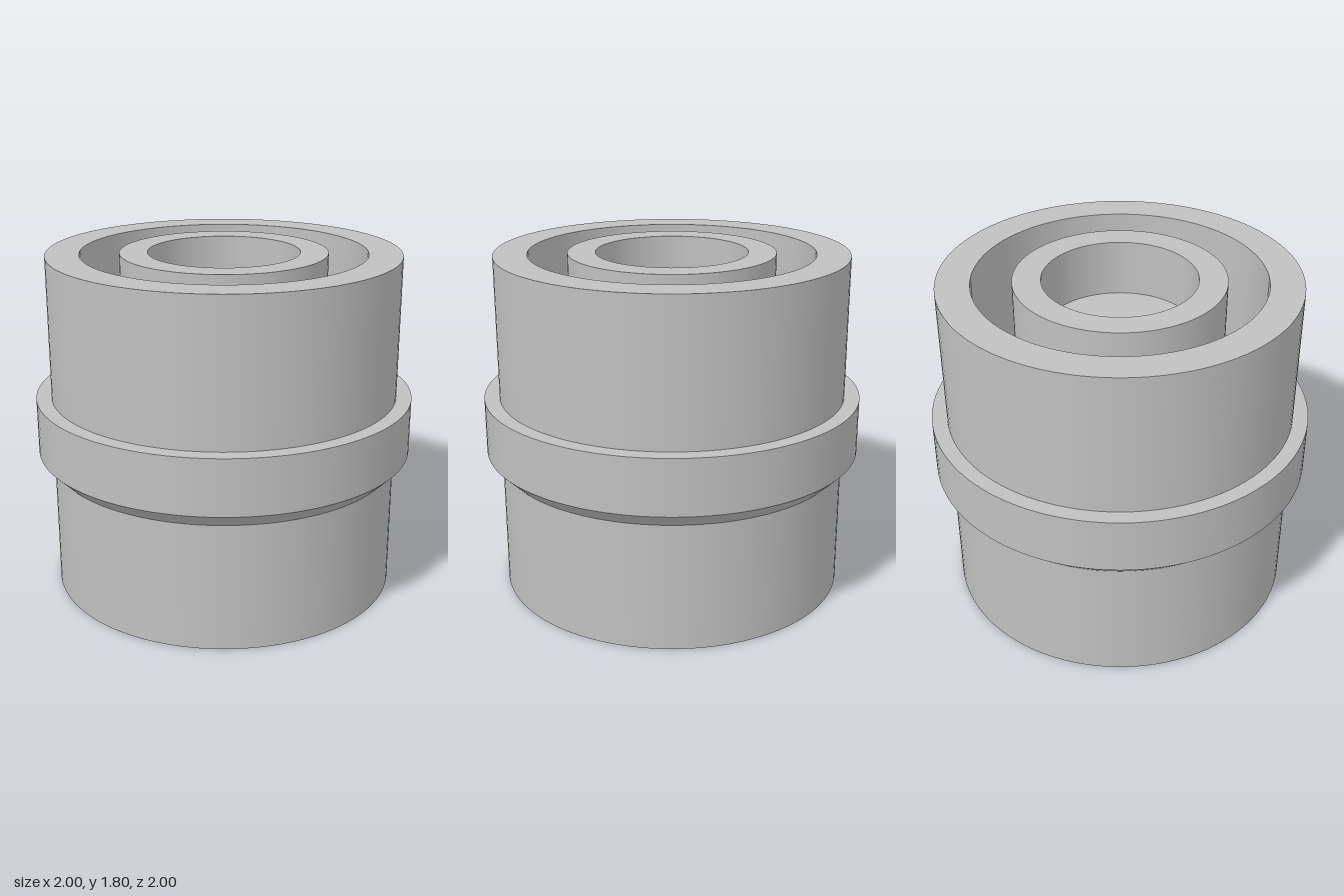
import * as THREE from 'three';
import { mergeGeometries } from 'three/addons/utils/BufferGeometryUtils.js';

const SEG = 96;

// Revolve a profile one straight run at a time, so every rim stays sharp
function sharpLathe(points, segments = SEG) {
  const runs = [];
  for (let i = 0; i < points.length - 1; i++) {
    const pair = [points[i], points[i + 1]].map(([r, y]) => new THREE.Vector2(r, y));
    runs.push(new THREE.LatheGeometry(pair, segments));
  }
  return mergeGeometries(runs);
}

export function createModel() {
  const group = new THREE.Group();
  const steel = new THREE.MeshStandardMaterial({ color: 0xc0c0c0 });
  steel.name = 'grey steel';

  const add = (name, geometry) => {
    const mesh = new THREE.Mesh(geometry, steel);
    mesh.name = name;
    group.add(mesh);
    return mesh;
  };

  const outerR = 0.92, boreR = 0.395, height = 1.8, channelFloor = 0.6;

  // Outer sleeve below and above the collar
  add('lowerSleeve', sharpLathe([[outerR, 0], [outerR, 0.675]]));
  add('collar', sharpLathe([[outerR, 0.675], [1, 0.755], [1, 1.05], [outerR, 1.05]]));
  add('upperSleeve', sharpLathe([[outerR, 1.05], [outerR, height], [0.745, height], [0.745, channelFloor]]));

  // Ring channel, hub and the pierced web inside the bore
  add('channelFloor', sharpLathe([[0.745, channelFloor], [0.54, channelFloor]]));
  add('hub', sharpLathe([[0.54, channelFloor], [0.54, height], [boreR, height], [boreR, 1.5]]));
  add('boreWeb', sharpLathe([[boreR, 1.5], [0.132, 1.5], [0.132, 1.2], [boreR, 1.2]]));
  add('lowerBore', sharpLathe([[boreR, 1.2], [boreR, 0]]));

  // Base face with the bore and six shallow blind holes
  const holeR = 0.073, holeCircle = 0.69, holeDepth = 0.045;
  const base = new THREE.Shape().absarc(0, 0, outerR, 0, Math.PI * 2);
  const cut = (x, z, r) => base.holes.push(new THREE.Path().absarc(x, z, r, 0, Math.PI * 2, true));
  cut(0, 0, boreR);
  for (let i = 0; i < 6; i++) {
    const a = (i * Math.PI) / 3;
    const x = holeCircle * Math.cos(a), z = holeCircle * Math.sin(a);
    cut(x, z, holeR);
    add('blindHole', sharpLathe([[0, holeDepth], [holeR, holeDepth], [holeR, 0]], 48)).position.set(x, 0, z);
  }
  add('baseFace', new THREE.ShapeGeometry(base, SEG).rotateX(Math.PI / 2));

  return group;
}
